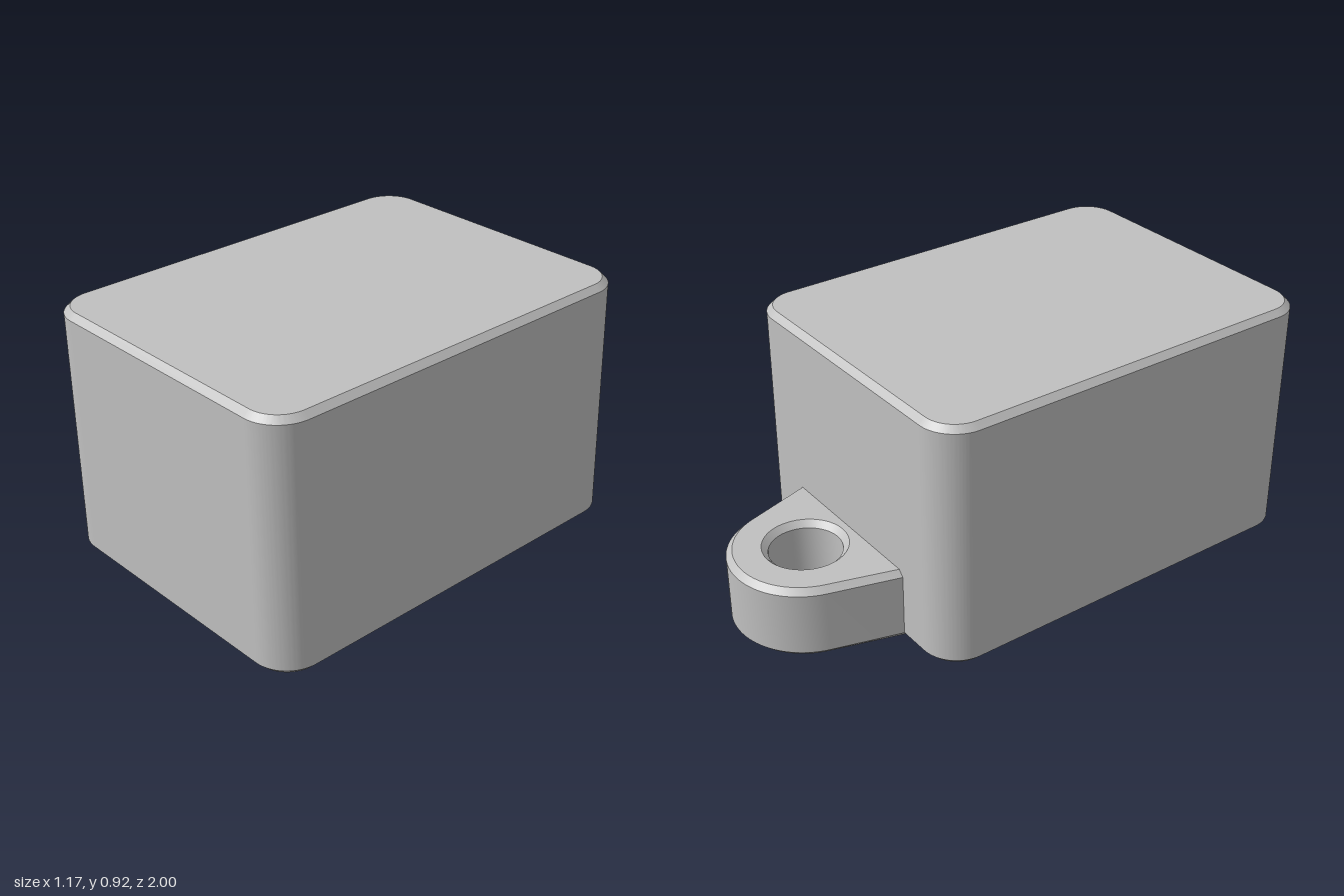
import * as THREE from 'three';
import { toCreasedNormals } from 'three/addons/utils/BufferGeometryUtils.js';

const CHAMFER = 0.022;

// Extrudes a plan outline (x, -z) upward from y = 0 with chamfered rims inside the outline
function chamferedSlab(shape, height) {
  const geometry = new THREE.ExtrudeGeometry(shape, {
    depth: height - 2 * CHAMFER,
    bevelEnabled: true,
    bevelThickness: CHAMFER,
    bevelSize: CHAMFER,
    bevelOffset: -CHAMFER,
    bevelSegments: 1,
    curveSegments: 20,
  });
  geometry.translate(0, 0, CHAMFER);
  geometry.rotateX(-Math.PI / 2);
  return toCreasedNormals(geometry, 0.45);
}

// Rounded rectangle seen from above
function bodyOutline(halfWidth, front, back, r) {
  const s = new THREE.Shape();
  const x = halfWidth - r;
  s.absarc(x, front + r, r, -Math.PI / 2, 0);
  s.absarc(x, back - r, r, 0, Math.PI / 2);
  s.absarc(-x, back - r, r, Math.PI / 2, Math.PI);
  s.absarc(-x, front + r, r, Math.PI, Math.PI * 1.5);
  s.closePath();
  return s;
}

// Tapered tab with a round end and a hole; its root is buried in the body
function lugOutline(centre, r, holeRadius, root, taper) {
  const s = new THREE.Shape();
  const tangentX = r * Math.cos(taper);
  const tangentY = centre + r * Math.sin(taper);
  const rootX = tangentX + (tangentY - root) * Math.tan(taper);
  s.moveTo(-rootX, root);
  s.lineTo(rootX, root);
  s.absarc(0, centre, r, taper, Math.PI - taper);
  s.closePath();
  const hole = new THREE.Path();
  hole.absarc(0, centre, holeRadius, 0, Math.PI * 2, true);
  s.holes.push(hole);
  return s;
}

export function createModel() {
  const group = new THREE.Group();
  group.name = 'blockWithLug';
  const grey = new THREE.MeshStandardMaterial({ color: 0xc0c0c0 });
  grey.name = 'grey';

  const body = new THREE.Mesh(chamferedSlab(bodyOutline(0.583, -1, 0.555, 0.135), 0.917), grey);
  body.name = 'body';

  const lug = new THREE.Mesh(chamferedSlab(lugOutline(0.73, 0.27, 0.128, 0.49, 0.28), 0.275), grey);
  lug.name = 'mountingLug';

  group.add(body, lug);
  return group;
}
